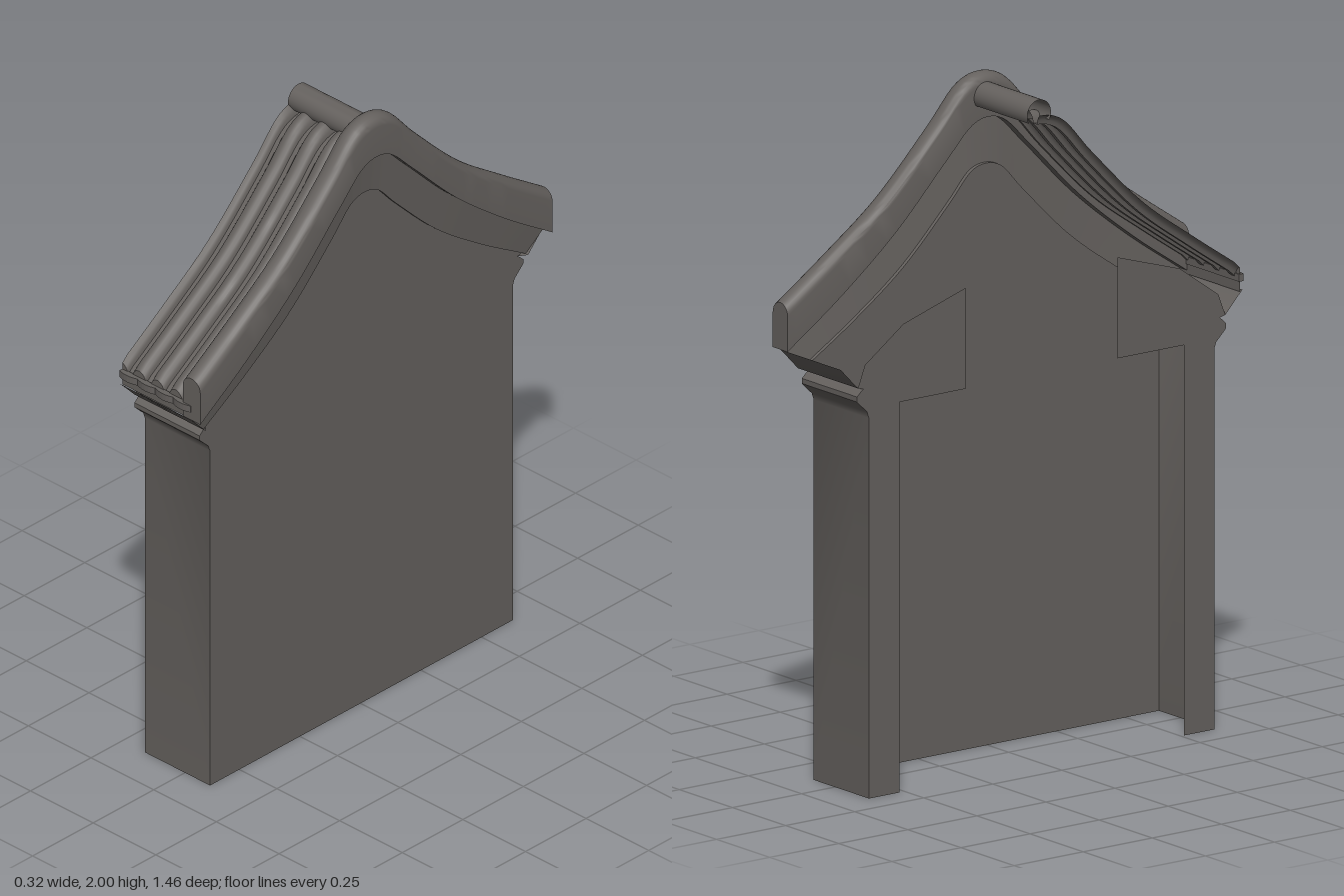
import * as THREE from 'three';
import { toCreasedNormals } from 'three/addons/utils/BufferGeometryUtils.js';

const stone = new THREE.MeshStandardMaterial({ color: 0x65615e, side: THREE.DoubleSide });
stone.name = 'dark grey stone';

const X_IN = -0.16, X_WALL = 0.1;

// mirrored gable curve through [z, y] points, listed from the peak outwards
function gableCurve(half) {
  const left = half.slice(1).reverse().map(([z, y]) => [-z, y]);
  return new THREE.CatmullRomCurve3([...left, ...half].map(([z, y]) => new THREE.Vector3(0, y, z)));
}
const topCurve = gableCurve([[0, 2], [0.07, 1.98], [0.18, 1.865], [0.37, 1.68], [0.55, 1.55], [0.727, 1.43]]);
const midCurve = gableCurve([[0, 1.87], [0.055, 1.855], [0.15, 1.765], [0.33, 1.585], [0.53, 1.425], [0.727, 1.29]]);
const lowCurve = gableCurve([[0, 1.73], [0.05, 1.717], [0.13, 1.635], [0.3, 1.47], [0.48, 1.34], [0.665, 1.225]]);

// pier face and cornice mouldings, [z, y] from the ground up
const pierProfile = [[0.625, 0], [0.625, 1.13], [0.632, 1.15], [0.655, 1.172], [0.668, 1.185], [0.668, 1.2],
  [0.655, 1.212], [0.645, 1.22], [0.665, 1.225], [0.727, 1.29]];

// surface through rows of points
function sheet(rows) {
  const n = rows[0].length, index = [];
  for (let i = 0; i < rows.length - 1; i++) {
    for (let j = 0; j < n - 1; j++) {
      const a = i * n + j, b = a + 1, c = a + n, d = c + 1;
      index.push(a, c, b, b, c, d);
    }
  }
  const g = new THREE.BufferGeometry().setFromPoints(rows.flat());
  g.setIndex(index);
  return toCreasedNormals(g, 0.6);
}

// flat panel in the z-y plane at a given x
function sidePanel(points, x) {
  const shape = new THREE.Shape(points.map(([z, y]) => new THREE.Vector2(z, y)));
  return new THREE.ShapeGeometry(shape).rotateY(-Math.PI / 2).translate(x, 0, 0);
}

export function createModel() {
  const model = new THREE.Group();
  model.name = 'gableWall';
  const body = new THREE.Group();
  body.name = 'wallAndRoof';
  body.position.z = -0.004;
  model.add(body);
  const add = (name, geometry) => {
    const mesh = new THREE.Mesh(geometry, stone);
    mesh.name = name;
    body.add(mesh);
    return mesh;
  };

  // gable wall
  const cornice = pierProfile.slice(0, -1);
  const gable = lowCurve.getPoints(60).map((p) => [p.z, p.y]).reverse().slice(1, -1);
  add('gableWall', sidePanel([...cornice, ...gable, ...cornice.slice().reverse().map(([z, y]) => [-z, y])], X_WALL));

  // piers with cornice, inner flanges and flange heads
  for (const s of [1, -1]) {
    const side = s > 0 ? 'front' : 'back';
    const row = (x, extra) => pierProfile.map(([z, y], i) => new THREE.Vector3(i > 7 ? x + extra : x, y, s * z));
    add(side + 'Pier', sheet([row(X_IN, 0), row(X_WALL, 0.022)]));
    const flange = [[0.515, 0], ...pierProfile.slice(0, 9), [0.64, 1.29], [0.5, 1.39], [0.275, 1.46], [0.275, 1.16], [0.515, 1.16]];
    add(side + 'Flange', sidePanel(flange.map(([z, y]) => [s * z, y]), X_IN));
  }

  // coping: rounded top, straight face, stepped lower band; [x, t], t = 0 top, 1 middle, 2 low
  const section = [[0.125, 1], [0.09, 1]];
  for (let i = 0; i <= 12; i++) {
    const a = Math.PI * (1 - i / 12);
    section.push([0.125 + 0.035 * Math.cos(a), 0.25 * (1 - Math.sin(a))]);
  }
  section.push([0.16, 1], [0.125, 1], [0.112, 2], [X_WALL, 2]);
  const copingRow = (u) => {
    const T = topCurve.getPoint(u), M = midCurve.getPoint(u), L = lowCurve.getPoint(u);
    return section.map(([x, t]) => {
      const p = t <= 1 ? T.clone().lerp(M, t) : M.clone().lerp(L, t - 1);
      return p.setX(x);
    });
  };
  const rows = [];
  for (let i = 0; i <= 60; i++) rows.push(copingRow(i / 60));
  add('coping', sheet(rows));

  // coping ends
  const endShape = new THREE.Shape(section.slice(1, -3).map(([x, t]) => new THREE.Vector2(x, 1.43 - 0.14 * t)));
  for (const s of [1, -1]) {
    add(s > 0 ? 'frontCopingEnd' : 'backCopingEnd', new THREE.ShapeGeometry(endShape).translate(0, 0, s * 0.727));
  }

  // roof tiles on the front slope: half-round rolls with flat valleys
  const tileSection = [[X_IN, -0.073]];
  const rollCentres = [-0.165, -0.093, -0.02, 0.053];
  for (const c of rollCentres) {
    for (let i = 0; i <= 8; i++) {
      const a = Math.PI * (1 - i / 8), x = c + 0.027 * Math.cos(a);
      if (x > X_IN) tileSection.push([x, -0.105 + 0.033 * Math.sin(a)]);
    }
  }
  tileSection.push([0.1, -0.105]);
  const tileRows = [];
  for (let i = 0; i <= 30; i++) {
    const p = topCurve.getPoint(0.5 + i / 60);
    tileRows.push(tileSection.map(([x, dy]) => new THREE.Vector3(x, p.y + dy, Math.min(p.z, 0.718))));
  }
  add('roofTiles', sheet(tileRows));

  // eave: fascia closing the tile ends, and a scalloped drip lip
  const eaveShape = new THREE.Shape([[X_IN, 1.285], [0.122, 1.285], [0.122, 1.325],
    ...tileSection.map(([x, dy]) => [x, 1.43 + dy]).reverse()].map(([x, y]) => new THREE.Vector2(x, y)));
  add('eaveFascia', new THREE.ShapeGeometry(eaveShape).translate(0, 0, 0.718));
  const lip = new THREE.Shape();
  lip.moveTo(X_IN, -0.715);
  lip.lineTo(X_IN, -0.73);
  for (let i = 0; i < 4; i++) {
    const x0 = X_IN + i * 0.0705;
    lip.quadraticCurveTo(x0 + 0.035, -0.742, x0 + 0.0705, -0.728);
  }
  lip.lineTo(0.122, -0.715);
  add('dripLip', new THREE.ExtrudeGeometry(lip, { depth: 0.022, bevelEnabled: false, curveSegments: 6 })
    .rotateX(-Math.PI / 2).translate(0, 1.315, 0));

  // ridge tile, an open round along x
  const ridgeRow = (x) => Array.from({ length: 21 }, (_, i) => {
    const a = -0.55 + (i / 20) * (Math.PI + 1.1);
    return new THREE.Vector3(x, 1.932 + 0.043 * Math.sin(a), -0.009 + 0.043 * Math.cos(a));
  });
  add('ridgeTile', sheet([ridgeRow(X_IN), ridgeRow(0.095)]));

  return model;
}
